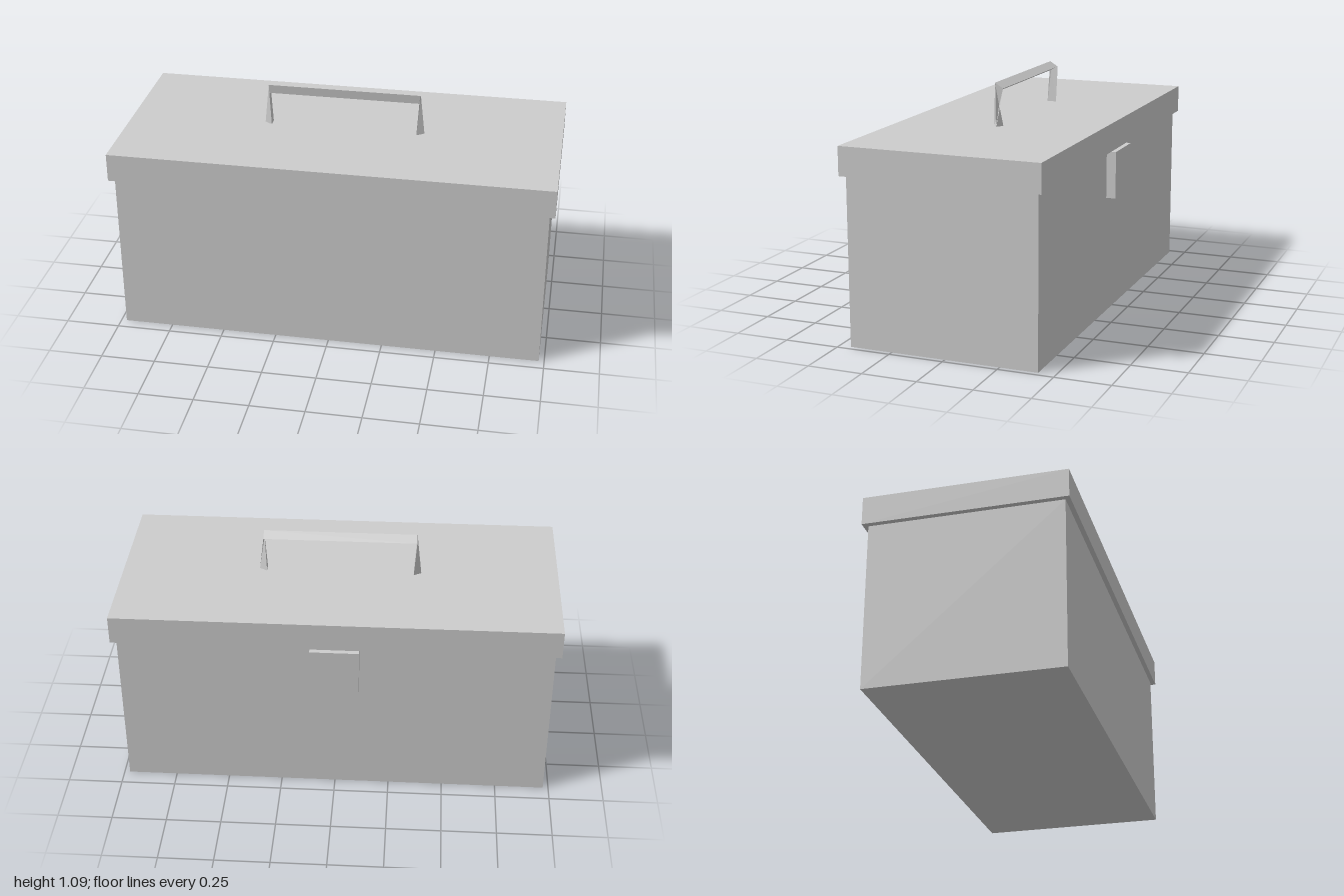
import * as THREE from 'three';

const grey = new THREE.MeshStandardMaterial({ color: 0xcccccc });
grey.name = 'grey';

// Box given by its minimum and maximum corners
function block(name, [x0, y0, z0], [x1, y1, z1]) {
  const mesh = new THREE.Mesh(new THREE.BoxGeometry(x1 - x0, y1 - y0, z1 - z0), grey);
  mesh.position.set((x0 + x1) / 2, (y0 + y1) / 2, (z0 + z1) / 2);
  mesh.name = name;
  return mesh;
}

// Flat-faced skin through matching cross-sections
function loft(sections) {
  const pos = [];
  for (let s = 0; s < sections.length - 1; s++) {
    const p = sections[s], q = sections[s + 1];
    for (let i = 0; i < p.length; i++) {
      const j = (i + 1) % p.length;
      pos.push(...p[i], ...p[j], ...q[j], ...p[i], ...q[j], ...q[i]);
    }
  }
  const geometry = new THREE.BufferGeometry();
  geometry.setAttribute('position', new THREE.Float32BufferAttribute(pos, 3));
  geometry.computeVertexNormals();
  return geometry;
}

export function createModel() {
  const group = new THREE.Group();
  group.name = 'toolbox';

  group.add(
    block('body', [-0.975, 0, -0.423], [0.975, 0.762, 0.446]),
    block('lid', [-1, 0.762, -0.445], [1, 0.892, 0.468]),
    block('clasp', [-0.11, 0.545, -0.467], [0.11, 0.762, -0.423])
  );

  // Three-sided carrying handle: up one leg, across, and down the other
  const foot = [[0.373, 0.89, 0.01], [0.338, 0.89, 0.034], [0.338, 0.89, -0.01]];
  const corner = [[0.35, 1.063, -0.014], [0.35, 1.087, 0.025], [0.35, 1.045, 0.02]];
  const mirror = (section) => section.map(([x, y, z]) => [-x, y, z]);
  const handle = new THREE.Mesh(loft([mirror(foot), mirror(corner), corner, foot]), grey);
  handle.name = 'handle';
  group.add(handle);

  return group;
}
